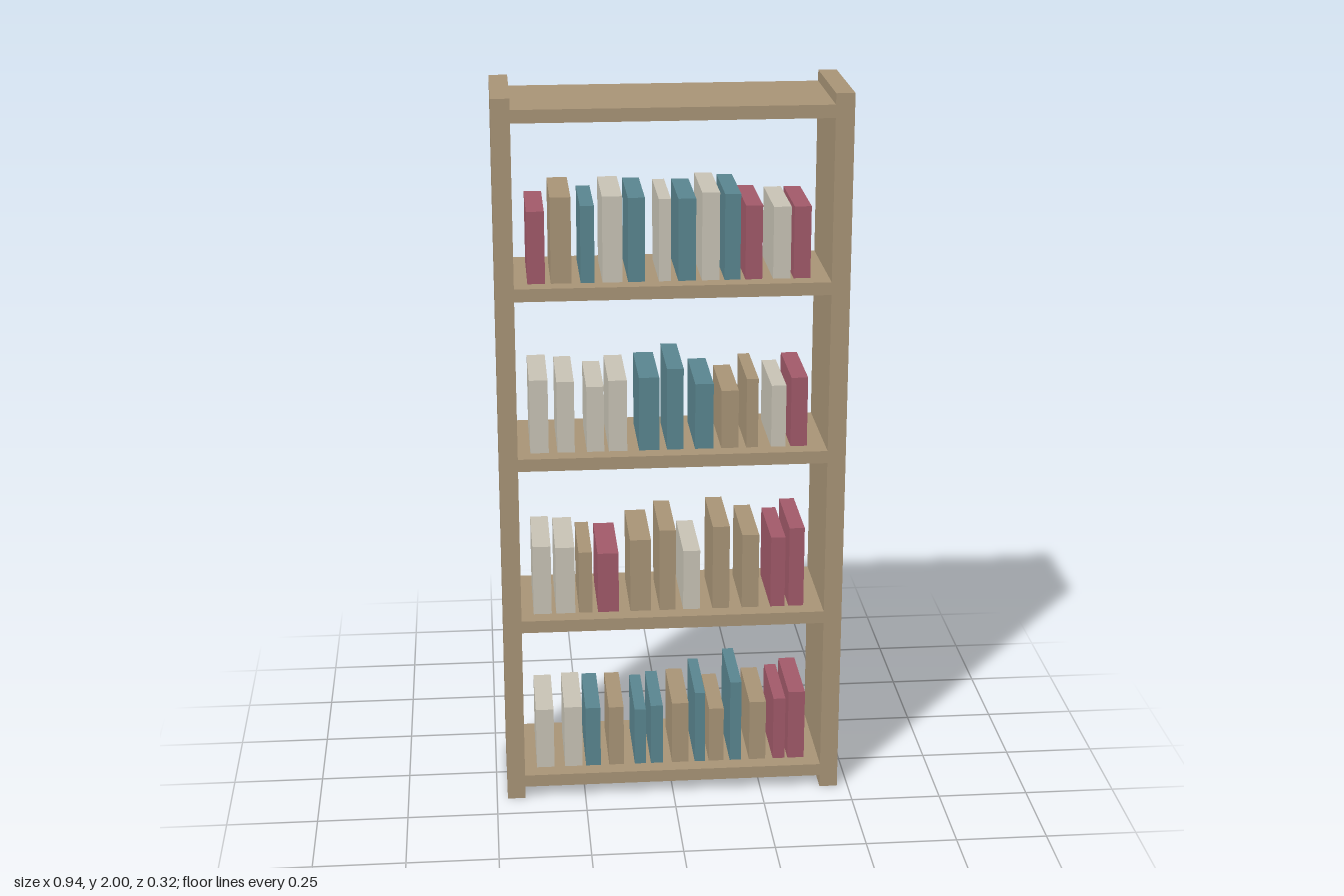
import * as THREE from 'three';

const flat = (name, color) => {
  const m = new THREE.MeshStandardMaterial({ color });
  m.name = name;
  return m;
};

export function createModel() {
  const model = new THREE.Group();
  model.name = 'bookcase';

  const wood = flat('wood', 0xa99577);
  const covers = {
    tan: wood,
    red: flat('red cover', 0xa25a6a),
    teal: flat('teal cover', 0x5a8690),
    cream: flat('cream cover', 0xc9c4b6),
  };

  const addBox = (parent, name, material, [w, h, d], [x, y, z]) => {
    const mesh = new THREE.Mesh(new THREE.BoxGeometry(w, h, d), material);
    mesh.name = name;
    mesh.position.set(x, y, z);
    parent.add(mesh);
  };

  // Upright side panels
  const depth = 0.325;
  addBox(model, 'leftPanel', wood, [0.05, 2, depth], [0.445, 1, 0]);
  addBox(model, 'rightPanel', wood, [0.05, 2, depth], [-0.445, 1, 0]);

  // Five evenly spaced shelves
  const shelfY = (i) => 0.053 + i * 0.475;
  const thickness = 0.035;
  for (let i = 0; i < 5; i++) {
    addBox(model, 'shelf' + (i + 1), wood, [0.84, thickness, depth], [0, shelfY(i), 0]);
  }

  // Books per shelf, bottom first: cover, centre x, width, height
  const rows = [
    [
      ['cream', -0.36, 0.05, 0.18], ['cream', -0.28, 0.05, 0.185], ['teal', -0.224, 0.042, 0.18],
      ['tan', -0.158, 0.042, 0.18], ['teal', -0.09, 0.032, 0.17], ['teal', -0.043, 0.034, 0.18],
      ['tan', 0.024, 0.047, 0.185], ['teal', 0.08, 0.029, 0.215], ['tan', 0.127, 0.042, 0.164],
      ['teal', 0.182, 0.032, 0.244], ['tan', 0.245, 0.047, 0.18], ['red', 0.307, 0.034, 0.188],
      ['red', 0.356, 0.047, 0.207],
    ],
    [
      ['cream', -0.36, 0.05, 0.201], ['cream', -0.296, 0.053, 0.196], ['tan', -0.24, 0.037, 0.18],
      ['red', -0.177, 0.058, 0.175], ['tan', -0.087, 0.058, 0.212], ['tan', -0.012, 0.045, 0.238],
      ['cream', 0.055, 0.047, 0.175], ['tan', 0.137, 0.047, 0.244], ['tan', 0.219, 0.047, 0.217],
      ['red', 0.296, 0.04, 0.207], ['red', 0.348, 0.042, 0.233],
    ],
    [
      ['cream', -0.36, 0.05, 0.207], ['cream', -0.288, 0.047, 0.201], ['cream', -0.208, 0.047, 0.185],
      ['cream', -0.147, 0.05, 0.201], ['teal', -0.062, 0.055, 0.207], ['teal', 0.009, 0.045, 0.23],
      ['teal', 0.088, 0.05, 0.185], ['tan', 0.158, 0.047, 0.164], ['tan', 0.219, 0.032, 0.196],
      ['cream', 0.291, 0.04, 0.175], ['red', 0.347, 0.045, 0.196],
    ],
    [
      ['red', -0.36, 0.047, 0.196], ['tan', -0.294, 0.055, 0.233], ['teal', -0.224, 0.037, 0.209],
      ['cream', -0.158, 0.053, 0.233], ['teal', -0.094, 0.045, 0.228], ['cream', -0.019, 0.032, 0.223],
      ['teal', 0.04, 0.047, 0.223], ['cream', 0.103, 0.047, 0.238], ['teal', 0.161, 0.042, 0.233],
      ['red', 0.218, 0.045, 0.201], ['cream', 0.293, 0.047, 0.196], ['red', 0.347, 0.045, 0.196],
    ],
  ];

  rows.forEach((books, i) => {
    const row = new THREE.Group();
    row.name = 'bookRow' + (i + 1);
    row.position.y = shelfY(i) + thickness / 2;
    books.forEach(([cover, x, w, h], j) => {
      addBox(row, 'book' + (j + 1), covers[cover], [w, h, 0.23], [x, h / 2, 0]);
    });
    model.add(row);
  });

  return model;
}
